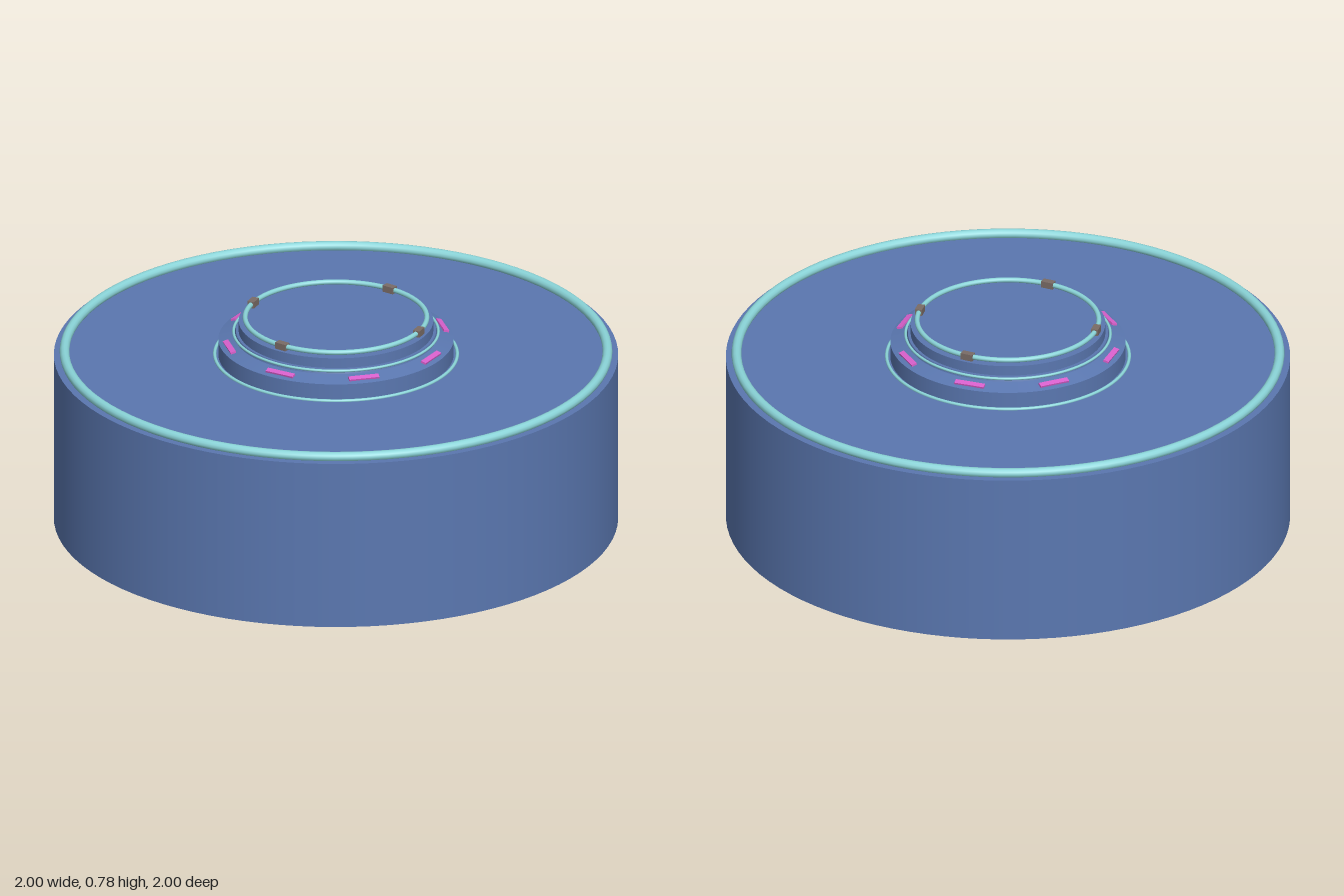
import * as THREE from 'three';

export function createModel() {
  const model = new THREE.Group();
  const blue = new THREE.MeshStandardMaterial({ color: 0x5a77b0, side: THREE.DoubleSide });
  blue.name = 'blue shell';
  const teal = new THREE.MeshStandardMaterial({ color: 0x8ad4d8 });
  teal.name = 'pale teal trim';
  const pink = new THREE.MeshStandardMaterial({ color: 0xd860cc });
  pink.name = 'pink lights';
  const brown = new THREE.MeshStandardMaterial({ color: 0x7a6c66 });
  brown.name = 'grey brown clips';

  const add = (name, geometry, material, y = 0) => {
    const mesh = new THREE.Mesh(geometry, material);
    mesh.name = name;
    mesh.position.y = y;
    model.add(mesh);
    return mesh;
  };
  const ring = (name, radius, tube, y) =>
    add(name, new THREE.TorusGeometry(radius, tube, 12, 96).rotateX(Math.PI / 2), teal, y);
  // Straight-sided bands keep every edge crisp
  const band = (name, rTop, rBottom, y0, y1) =>
    add(name, new THREE.CylinderGeometry(rTop, rBottom, y1 - y0, 96, 1, true), blue, (y0 + y1) / 2);
  const disc = (name, radius, y) =>
    add(name, new THREE.CircleGeometry(radius, 96).rotateX(-Math.PI / 2), blue, y);

  // Drum, open underneath
  band('drumWall', 1, 1, 0, 0.627);
  disc('drumDeck', 1, 0.627);
  ring('deckRing', 0.962, 0.0175, 0.639);

  // Stepped hub
  band('hubBase', 0.417, 0.417, 0.627, 0.687);
  band('hubSlope', 0.36, 0.417, 0.687, 0.703);
  band('hubCollar', 0.355, 0.36, 0.703, 0.72);
  band('hubNeck', 0.345, 0.345, 0.715, 0.757);
  disc('hubStep', 0.355, 0.72);
  disc('hubTop', 0.345, 0.757);
  ring('hubBaseTrim', 0.43, 0.006, 0.629);
  ring('hubCollarTrim', 0.363, 0.005, 0.716);
  ring('hubTopRing', 0.322, 0.009, 0.77);

  // Lights lying on the hub slope
  const slope = Math.atan2(0.016, 0.057);
  for (let i = 0; i < 8; i++) {
    const a = (i * Math.PI) / 4;
    const light = add('hubLight', new THREE.BoxGeometry(0.11, 0.008, 0.02).rotateX(slope), pink, 0.697);
    light.position.x = Math.sin(a) * 0.39;
    light.position.z = Math.cos(a) * 0.39;
    light.rotation.y = a;
  }

  // Clips over the top ring
  for (const sx of [-1, 1]) {
    for (const sz of [-1, 1]) {
      const clip = add('ringClip', new THREE.BoxGeometry(0.045, 0.024, 0.026), brown, 0.77);
      clip.position.x = sx * 0.25;
      clip.position.z = sz * 0.203;
      clip.rotation.y = Math.atan2(clip.position.x, clip.position.z);
    }
  }
  return model;
}
